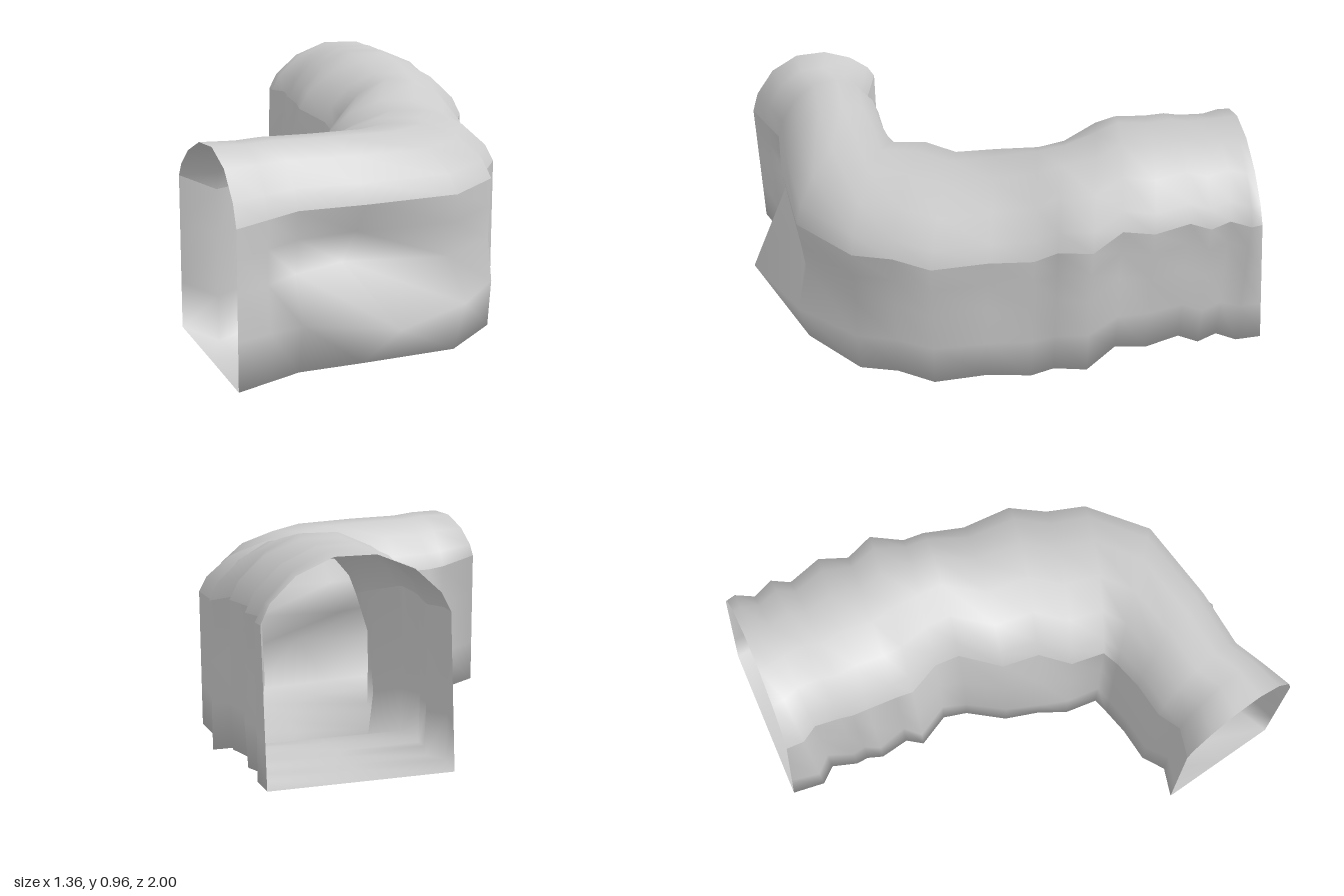
import * as THREE from 'three';

// Plan of the tunnel from back to side mouth:
// inner x, inner z, outer x, outer z, inner eave inset, outer wall bulge
const PLAN = [
  [-0.04, -1.0, 0.63, -1.0, 0, 0],
  [-0.06, -0.87, 0.64, -0.90, 0.02, 0.0],
  [0.0, -0.81, 0.60, -0.83, 0, 0.01],
  [-0.04, -0.71, 0.64, -0.75, 0.03, 0.01],
  [-0.03, -0.66, 0.60, -0.68, 0.01, 0.01],
  [-0.06, -0.6, 0.65, -0.54, 0.04, 0.0],
  [-0.02, -0.48, 0.61, -0.43, 0, 0.02],
  [-0.07, -0.42, 0.68, -0.31, 0.05, 0.0],
  [0.02, -0.29, 0.62, -0.19, 0.04, 0.01],
  [0.0, -0.19, 0.63, -0.10, 0.07, 0],
  [-0.08, -0.04, 0.60, 0.07, 0.05, 0.01],
  [-0.12, 0.10, 0.61, 0.28, 0.08, 0],
  [-0.15, 0.22, 0.53, 0.42, 0.02, 0.01],
  [-0.15, 0.36, 0.49, 0.57, 0.01, 0.01],
  [-0.22, 0.38, 0.28, 0.78, 0.02, 0.04],
  [-0.33, 0.41, -0.08, 0.85, 0.02, 0.17],
  [-0.47, 0.43, -0.33, 0.87, 0.02, 0.03],
  [-0.55, 0.50, -0.45, 0.93, 0, 0.01],
  [-0.68, 0.46, -0.57, 0.99, 0, 0],
];

// Heights along the tunnel: z, floor, eave, ridge
const HEIGHTS = [
  [-1.0, 0.19, 0.75, 0.96], [-0.52, 0.19, 0.75, 0.96], [-0.44, 0.165, 0.74, 0.96],
  [-0.28, 0.105, 0.69, 0.905], [-0.15, 0.06, 0.65, 0.89], [-0.05, 0.047, 0.62, 0.825],
  [0.3, 0.03, 0.605, 0.803], [0.6, 0.018, 0.60, 0.808], [0.85, 0.008, 0.595, 0.815],
  [1.0, 0.0, 0.57, 0.815],
];

const ROOF_STEPS = 7;
const lerp = THREE.MathUtils.lerp;

// Height at z for a level: 0 is the floor, 1 the eave, 2 the ridge
function heightAt(z, level) {
  let k = 0;
  while (k < HEIGHTS.length - 2 && HEIGHTS[k + 1][0] < z) k++;
  const a = HEIGHTS[k], b = HEIGHTS[k + 1];
  const t = (z - a[0]) / (b[0] - a[0]);
  const [floor, eave, ridge] = [1, 2, 3].map((c) => lerp(a[c], b[c], t));
  return level < 1 ? lerp(floor, eave, level) : lerp(eave, ridge, level - 1);
}

// One cross-section: the arched roof, and the trough of walls and floor below it
function section(row, i) {
  const [ix, iz, ox, oz, inset, bulge] = row;
  const lift = i === PLAN.length - 1 ? 0.05 : 0; // side mouth tilts up at its inner edge
  const across = new THREE.Vector3(ox - ix, 0, oz - iz);
  const width = across.length();
  across.normalize();
  const at = (d, level) => {
    const p = new THREE.Vector3(ix, 0, iz).addScaledVector(across, d);
    p.y = heightAt(p.z, level) + lift * (1 - d / width) * Math.min(1, 2 - level);
    if (i === 0) p.z += 0.08 * (p.y - 0.19) / 0.77; // back mouth leans inward
    return p;
  };

  const roof = [];
  const crown = Math.sin(Math.PI * 3 / ROOF_STEPS);
  for (let j = 0; j <= ROOF_STEPS; j++) {
    const a = Math.PI * j / ROOF_STEPS;
    const rise = Math.pow(Math.max(0, Math.sin(a)) / crown, 1.4);
    roof.push(at(lerp(inset, width, (1 - Math.cos(a)) / 2), 1 + Math.min(1, rise)));
  }

  const foot = inset * 0.3;
  const outerFoot = width - bulge * 0.1;
  const trough = [
    // outer wall, pinched below the eave and swelling near the floor
    at(width, 1), at(width - bulge * 0.3, 0.82), at(width - bulge * 0.7, 0.6),
    at(width + bulge, 0.31), at(outerFoot, 0),
    // floor
    at((outerFoot + foot) / 2, 0),
    // inner wall
    at(foot, 0), at(0, 0.3), at(inset * 0.25, 0.7), at(inset, 1),
  ];
  return { roof, trough };
}

// Smooth skin through matching rows of points
function loft(rows) {
  const n = rows[0].length;
  const index = [];
  for (let i = 0; i < rows.length - 1; i++) {
    for (let j = 0; j < n - 1; j++) {
      const a = i * n + j, b = a + n;
      index.push(a, b, a + 1, b, b + 1, a + 1);
    }
  }
  const geometry = new THREE.BufferGeometry().setFromPoints(rows.flat());
  geometry.setIndex(index);
  geometry.computeVertexNormals();
  return geometry;
}

export function createModel() {
  const group = new THREE.Group();
  group.name = 'curvedTunnel';
  const material = new THREE.MeshStandardMaterial({ color: 0xcccccc, side: THREE.DoubleSide });
  const sections = PLAN.map(section);
  // Two skins keep the eaves sharp
  for (const [name, part] of [['roof', 'roof'], ['wallsAndFloor', 'trough']]) {
    const mesh = new THREE.Mesh(loft(sections.map((s) => s[part])), material);
    mesh.name = name;
    group.add(mesh);
  }
  return group;
}
